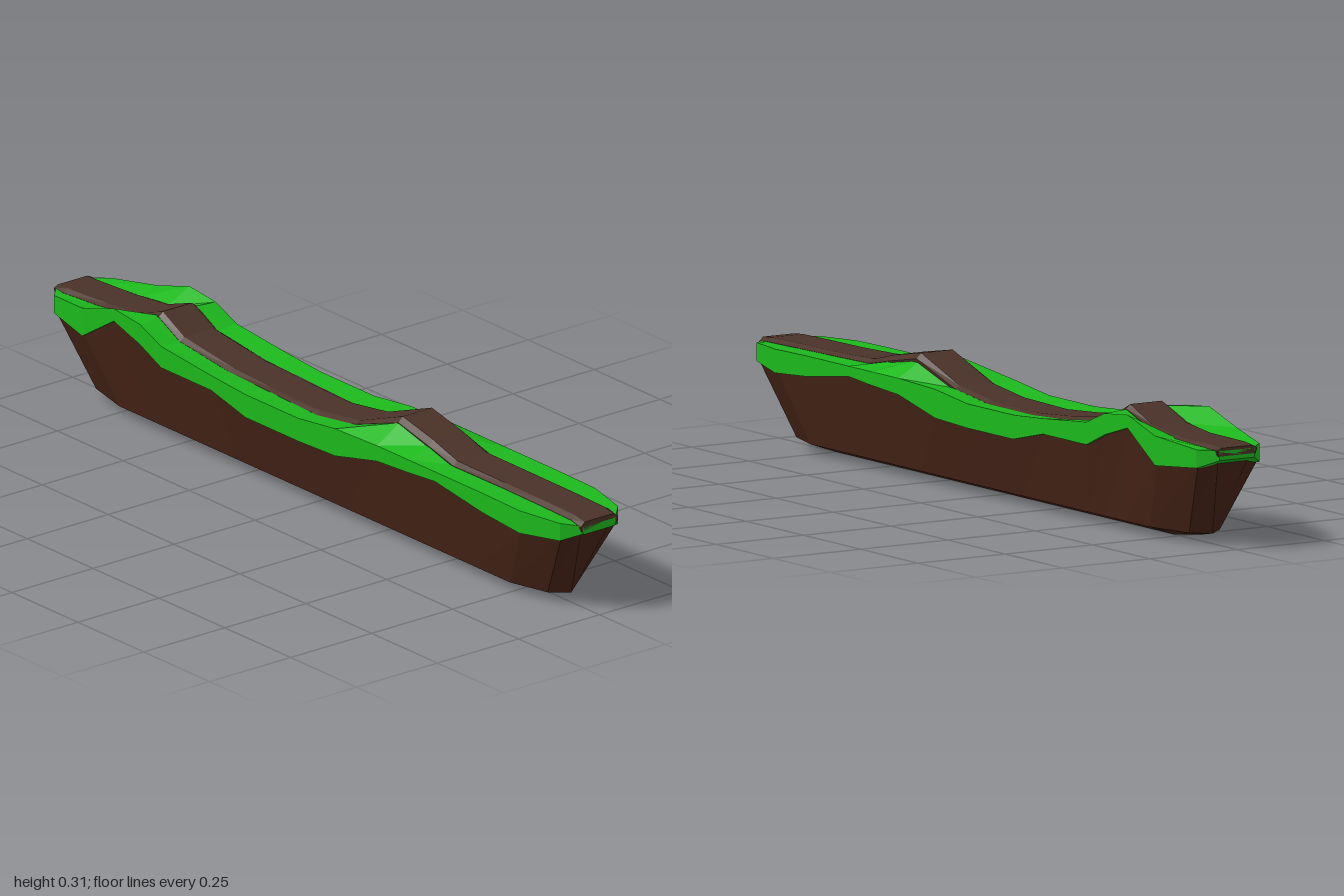
import * as THREE from 'three';

// Stations along the length:
// x, half width, grass hem y, grass rim y, grass inner y, path top y, path z shift
const STATIONS = [
  [-1, 0.05, 0.22, 0.245, 0.243, 0.25, 0],
  [-0.96, 0.09, 0.2, 0.245, 0.243, 0.253, 0.003],
  [-0.82, 0.117, 0.19, 0.262, 0.248, 0.256, -0.004],
  [-0.7, 0.117, 0.265, 0.297, 0.262, 0.268, -0.002],
  [-0.6, 0.117, 0.235, 0.287, 0.292, 0.303, 0.002],
  [-0.52, 0.117, 0.2, 0.255, 0.252, 0.262, 0.001],
  [-0.33, 0.117, 0.2, 0.238, 0.23, 0.238, 0],
  [-0.2, 0.117, 0.17, 0.229, 0.223, 0.229, -0.006],
  [0, 0.117, 0.17, 0.229, 0.222, 0.23, 0.001],
  [0.14, 0.117, 0.175, 0.245, 0.24, 0.248, -0.002],
  [0.3, 0.117, 0.21, 0.25, 0.292, 0.306, -0.007],
  [0.42, 0.117, 0.217, 0.25, 0.27, 0.285, -0.002],
  [0.52, 0.117, 0.225, 0.25, 0.25, 0.261, 0.003],
  [0.7, 0.117, 0.2, 0.25, 0.248, 0.257, -0.002],
  [0.84, 0.117, 0.19, 0.248, 0.246, 0.256, -0.003],
  [0.96, 0.09, 0.2, 0.245, 0.244, 0.254, -0.003],
  [1, 0.05, 0.22, 0.24, 0.238, 0.25, 0],
];

// Full ring from a half profile listed bottom to top on the +z side
function mirrorRing(half, shift = 0) {
  const other = half.map(([x, y, z]) => [x, y, -z]).reverse();
  return [...half, ...other].map(([x, y, z]) => [x, y, z + shift]);
}

// Skin closed rings with faceted quads and cap both ends
function loft(name, rings, color) {
  const positions = [];
  const tri = (a, b, c) => {
    const [va, vb, vc] = [a, b, c].map((p) => new THREE.Vector3(...p));
    const area = vb.clone().sub(va).cross(vc.clone().sub(va)).length();
    if (area > 1e-9) positions.push(...a, ...b, ...c);
  };
  const n = rings[0].length;
  for (let i = 0; i < rings.length - 1; i++) {
    for (let j = 0; j < n; j++) {
      const k = (j + 1) % n;
      const a = rings[i][j], b = rings[i][k];
      const c = rings[i + 1][k], d = rings[i + 1][j];
      tri(a, d, c);
      tri(a, c, b);
    }
  }
  const first = rings[0], last = rings[rings.length - 1];
  for (let k = 1; k < n - 1; k++) {
    tri(first[0], first[k], first[k + 1]);
    tri(last[0], last[k + 1], last[k]);
  }
  const geometry = new THREE.BufferGeometry();
  geometry.setAttribute('position', new THREE.Float32BufferAttribute(positions, 3));
  geometry.computeVertexNormals();
  const mesh = new THREE.Mesh(geometry, new THREE.MeshStandardMaterial({ color, flatShading: true }));
  mesh.name = name;
  return mesh;
}

export function createModel() {
  const group = new THREE.Group();
  group.name = 'floatingGround';

  // Earth: tapers down to a shallow keel, with undercut ends
  const earth = STATIONS.map(([x, hw, hem, , inner]) => {
    const top = Math.sign(x) * Math.min(Math.abs(x), 0.985);
    const bottom = x * 0.893;
    const keel = Math.abs(x) > 0.98 ? 0.025 : Math.abs(x) > 0.9 ? 0.018 : 0;
    return mirrorRing([
      [bottom, keel, 0],
      [bottom, 0.025, (hw - 0.05) * 1.09],
      [top, hem + 0.006, hw * 0.95],
      [top, Math.min(hem, inner - 0.015), 0.045],
    ]);
  });
  group.add(loft('earthBody', earth, 0x452316));

  // Grass: a band hanging over the sides, sloping in to the path
  const grass = STATIONS.map(([x, hw, hem, rim, inner]) => mirrorRing([
    [x, Math.min(hem, inner - 0.02), 0.045],
    [x, hem, hw],
    [x, rim, hw],
    [x, inner, 0.048],
  ]));
  group.add(loft('grassCover', grass, 0x1cb81c));

  // Path: bevelled, slightly wandering strip along the ridge
  const path = STATIONS.map(([x, , , , inner, top, shift]) => mirrorRing([
    [x, inner - 0.013, 0.054],
    [x, inner + 0.001, 0.058],
    [x, top, 0.045],
  ], shift));
  group.add(loft('dirtPath', path, 0x4a3228));

  return group;
}
